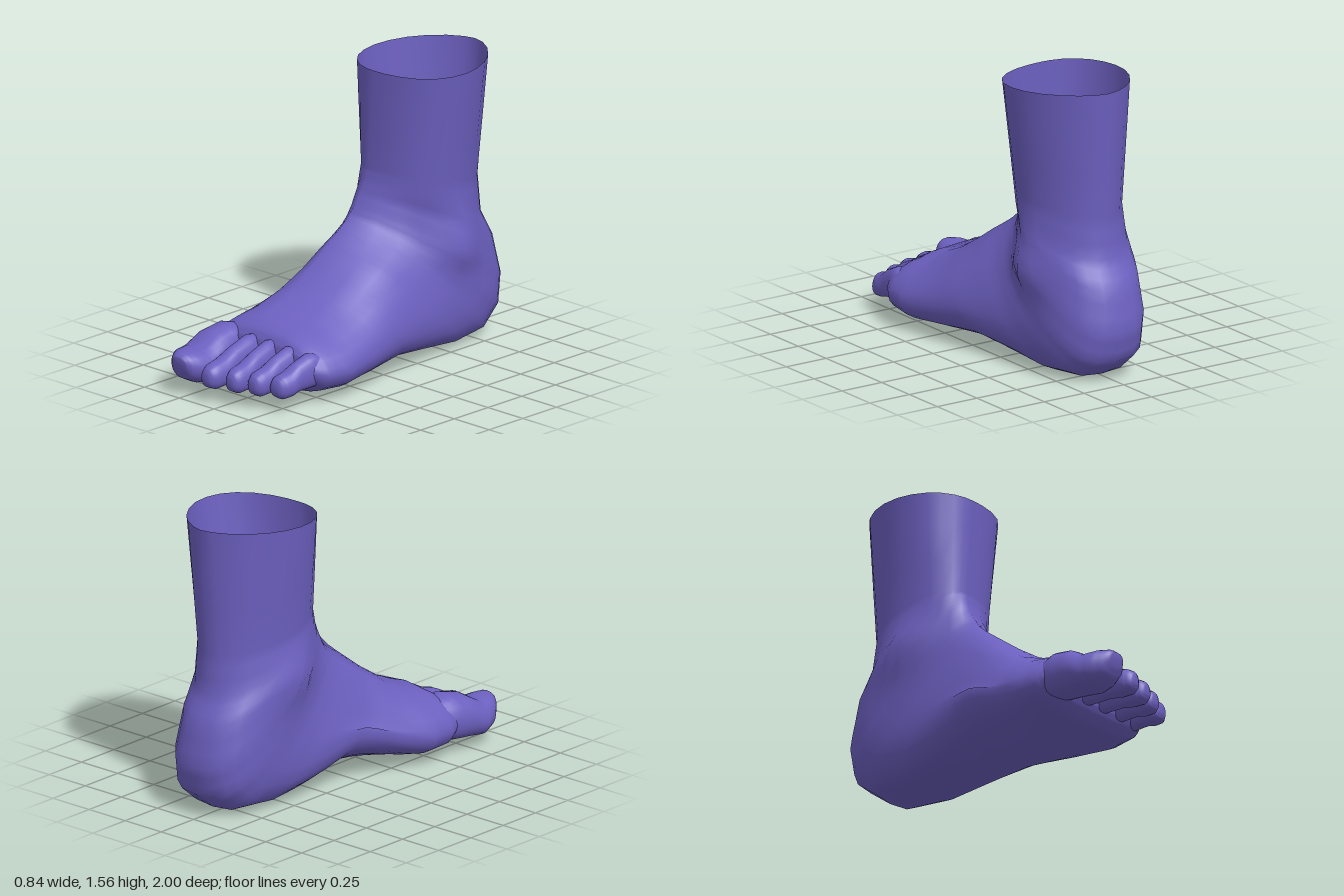
import * as THREE from 'three';

const SEGMENTS = 24;
const STEPS = 3;
const lerp = THREE.MathUtils.lerp;
const skin = new THREE.MeshStandardMaterial({ color: 0x6c60c0, side: THREE.DoubleSide });

// One cross-section: an oval strung between a front/top point and a back/bottom point.
// low < 1 moves the widest place towards the back/bottom; ridge is the x of the front/top point;
// power sets the outline from boxy (0.5) to pointed (1.2).
function section([fz, fy, bz, by, xMin, xMax, ridge, low, power], adjust) {
  const points = [];
  for (let j = 0; j < SEGMENTS; j++) {
    const a = (j / SEGMENTS) * Math.PI * 2;
    const t = Math.pow((1 - Math.cos(a)) / 2, low);
    const side = Math.sin(a);
    const centre = lerp(ridge, (xMin + xMax) / 2, t);
    const reach = (side > 0 ? xMax : xMin) - centre;
    const p = new THREE.Vector3(
      centre + reach * Math.pow(Math.abs(side), power),
      lerp(fy, by, t),
      lerp(fz, bz, t)
    );
    if (adjust) adjust(p, t, side);
    points.push(p);
  }
  return points;
}

// Insert in-between sections
function refine(rows) {
  const out = [rows[0]];
  for (let i = 1; i < rows.length; i++) {
    for (let s = 1; s <= STEPS; s++) {
      out.push(rows[i].map((v, k) => lerp(rows[i - 1][k], v, s / STEPS)));
    }
  }
  return out;
}

// Skin a row of sections and close the last one
function loft(name, rows, adjust) {
  const rings = refine(rows).map((row) => section(row, adjust));
  const tip = new THREE.Vector3();
  rings[rings.length - 1].forEach((p) => tip.addScaledVector(p, 1 / SEGMENTS));
  const index = [];
  const tipIndex = rings.length * SEGMENTS;
  for (let i = 0; i < rings.length; i++) {
    for (let j = 0; j < SEGMENTS; j++) {
      const a = i * SEGMENTS + j;
      const b = i * SEGMENTS + ((j + 1) % SEGMENTS);
      if (i === rings.length - 1) index.push(a, tipIndex, b);
      else index.push(a, a + SEGMENTS, b, b, a + SEGMENTS, b + SEGMENTS);
    }
  }
  const geometry = new THREE.BufferGeometry().setFromPoints([...rings.flat(), tip]);
  geometry.setIndex(index);
  geometry.computeVertexNormals();
  const mesh = new THREE.Mesh(geometry, skin);
  mesh.name = name;
  return mesh;
}

const bump = (d, width) => Math.exp(-((d / width) ** 2));

// Ankle bones on both sides and the raised inner arch of the sole
function shapeFoot(p, t, side) {
  const outer = bump(p.y - 0.56, p.y > 0.56 ? 0.22 : 0.1) * bump(p.z + 0.52, 0.13);
  const inner = bump(p.y - 0.7, 0.13) * bump(p.z + 0.48, 0.16);
  if (side > 0.3) p.x += 0.07 * outer;
  if (side < -0.3) p.x -= 0.055 * inner;
  if (p.x < 0 && t > 0.6) p.y += 0.07 * bump(p.z, 0.25) * Math.min(1, -p.x / 0.25);
}

export function createModel() {
  const group = new THREE.Group();
  group.name = 'foot';

  // Leg, heel and foot: front z, y, back z, y, min x, max x, ridge x, low, power
  group.add(loft('legAndFoot', [
    [-0.215, 1.54, -0.91, 1.56, -0.30, 0.36, -0.03, 1.28, 1.2],
    [-0.22, 1.0, -0.86, 0.87, -0.24, 0.28, -0.07, 1.2, 1.05],
    [-0.205, 0.93, -0.88, 0.65, -0.245, 0.27, -0.08, 1.08, 0.95],
    [-0.18, 0.87, -0.96, 0.5, -0.25, 0.265, -0.09, 0.92, 0.84],
    [-0.14, 0.81, -1.0, 0.28, -0.258, 0.28, -0.09, 0.8, 0.76],
    [-0.11, 0.77, -0.96, 0.12, -0.26, 0.29, -0.1, 0.73, 0.68],
    [-0.08, 0.74, -0.83, 0.02, -0.255, 0.295, -0.1, 0.7, 0.6],
    [-0.03, 0.70, -0.6, 0.0, -0.258, 0.305, -0.1, 0.68, 0.57],
    [0.05, 0.64, -0.35, 0.03, -0.275, 0.33, -0.1, 0.67, 0.57],
    [0.17, 0.55, -0.1, 0.06, -0.305, 0.365, -0.1, 0.65, 0.6],
    [0.3, 0.465, 0.15, 0.04, -0.365, 0.395, -0.1, 0.63, 0.63],
    [0.42, 0.41, 0.4, 0.02, -0.42, 0.42, -0.1, 0.62, 0.67],
    [0.54, 0.365, 0.55, 0.03, -0.415, 0.4, -0.09, 0.7, 0.62],
    [0.6, 0.325, 0.61, 0.075, -0.395, 0.365, -0.08, 0.75, 0.57],
    [0.63, 0.27, 0.635, 0.12, -0.365, 0.34, -0.06, 0.8, 0.57],
  ], shapeFoot));

  // Big toe
  group.add(loft('bigToe', [
    [0.5, 0.29, 0.5, 0.1, -0.37, -0.17, -0.25, 0.8, 0.65],
    [0.62, 0.322, 0.63, 0.07, -0.402, -0.165, -0.26, 0.8, 0.65],
    [0.73, 0.298, 0.74, 0.06, -0.415, -0.155, -0.28, 0.8, 0.68],
    [0.83, 0.24, 0.82, 0.05, -0.42, -0.15, -0.28, 0.85, 0.68],
    [0.92, 0.24, 0.89, 0.06, -0.39, -0.165, -0.28, 0.9, 0.7],
    [0.97, 0.235, 0.95, 0.09, -0.345, -0.19, -0.27, 0.9, 0.7],
    [0.995, 0.215, 0.98, 0.14, -0.31, -0.22, -0.27, 1.0, 0.75],
  ]));

  // Small toes: name, base x, tip x, tip z, half width, drop of the upper side
  const smallToes = [
    ['secondToe', -0.09, -0.095, 0.965, 0.064, 0],
    ['thirdToe', 0.035, 0.04, 0.925, 0.06, 0.005],
    ['fourthToe', 0.175, 0.155, 0.88, 0.06, 0.015],
    ['littleToe', 0.31, 0.265, 0.825, 0.062, 0.03],
  ];
  // Along a toe: fraction of length, top y, bottom y, width factor
  const toeProfile = [
    [0, 0.28, 0.11, 0.85],
    [0.32, 0.3, 0.095, 0.92],
    [0.58, 0.26, 0.09, 0.9],
    [0.75, 0.22, 0.075, 1.02],
    [0.9, 0.205, 0.07, 0.95],
    [0.97, 0.185, 0.085, 0.68],
    [1, 0.16, 0.11, 0.35],
  ];
  for (const [name, baseX, tipX, tipZ, halfWidth, drop] of smallToes) {
    group.add(loft(name, toeProfile.map(([f, top, bottom, wide]) => {
      const x = lerp(baseX, tipX, f);
      const z = lerp(0.5, tipZ, f);
      const w = halfWidth * wide;
      return [z, top - drop * (1 - f * 0.7), z, bottom, x - w, x + w, x, 0.85, 0.68];
    })));
  }
  return group;
}
